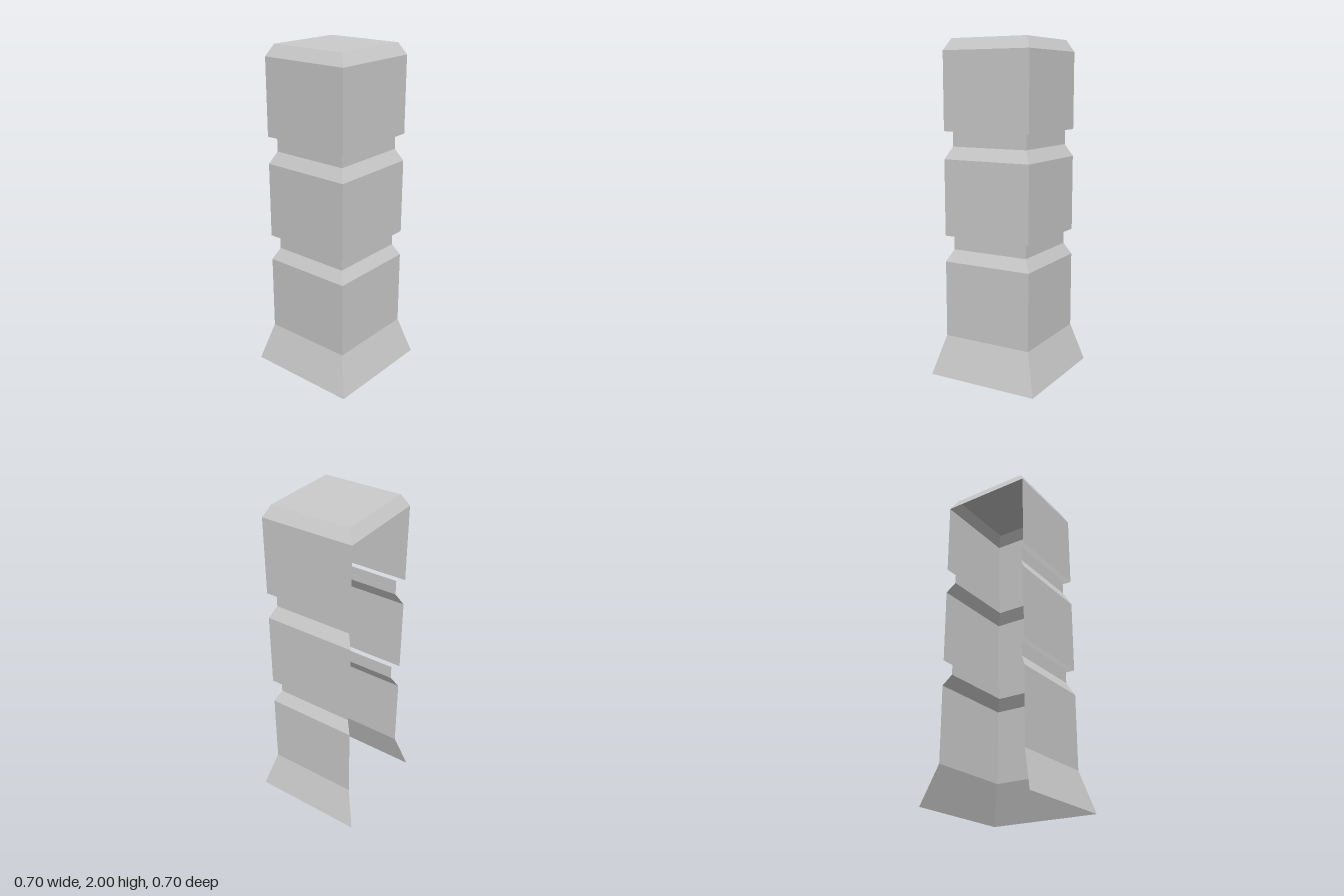
import * as THREE from 'three';

const stone = new THREE.MeshStandardMaterial({ color: 0xcccccc, side: THREE.DoubleSide });
stone.name = 'palegrey';

// Outward rotations about y: front, right, left, back
const FRONT = 0, RIGHT = Math.PI / 2, LEFT = -Math.PI / 2, BACK = Math.PI;

// One mitred wall: stacks flat bands along a profile of [half width, height]
function wall(name, profile, turn) {
  const pos = [];
  for (let i = 0; i < profile.length - 1; i++) {
    const [r0, y0] = profile[i];
    const [r1, y1] = profile[i + 1];
    const a = [-r0, y0, r0], b = [r0, y0, r0], c = [r1, y1, r1], d = [-r1, y1, r1];
    pos.push(...a, ...b, ...c, ...a, ...c, ...d);
  }
  const geo = new THREE.BufferGeometry();
  geo.setAttribute('position', new THREE.Float32BufferAttribute(pos, 3));
  geo.computeVertexNormals();
  const mesh = new THREE.Mesh(geo, stone);
  mesh.name = name;
  mesh.rotation.y = turn;
  return mesh;
}

export function createModel() {
  const model = new THREE.Group();
  model.name = 'squarePost';
  const W = 0.28, N = 0.243;

  // Three separate shells, open at the back and between the tiers
  const tiers = {
    base: [[0.348, 0], [W, 0.24], [W, 0.7], [N, 0.772], [N, 0.858]],
    middle: [[W, 0.858], [W, 1.312], [N, 1.385], [N, 1.475]],
    head: [[W, 1.475], [W, 1.932], [N, 2]],
  };
  for (const [name, profile] of Object.entries(tiers)) {
    const tier = new THREE.Group();
    tier.name = name;
    tier.add(
      wall(name + 'Front', profile, FRONT),
      wall(name + 'Right', profile, RIGHT),
      wall(name + 'Left', profile, LEFT),
    );
    model.add(tier);
  }

  // Top plate and the bevel that closes its back edge
  model.add(wall('backBevel', [[W, 1.932], [N, 2]], BACK));
  const top = new THREE.Mesh(new THREE.PlaneGeometry(2 * N, 2 * N), stone);
  top.name = 'topPlate';
  top.rotation.x = -Math.PI / 2;
  top.position.y = 2;
  model.add(top);

  return model;
}
